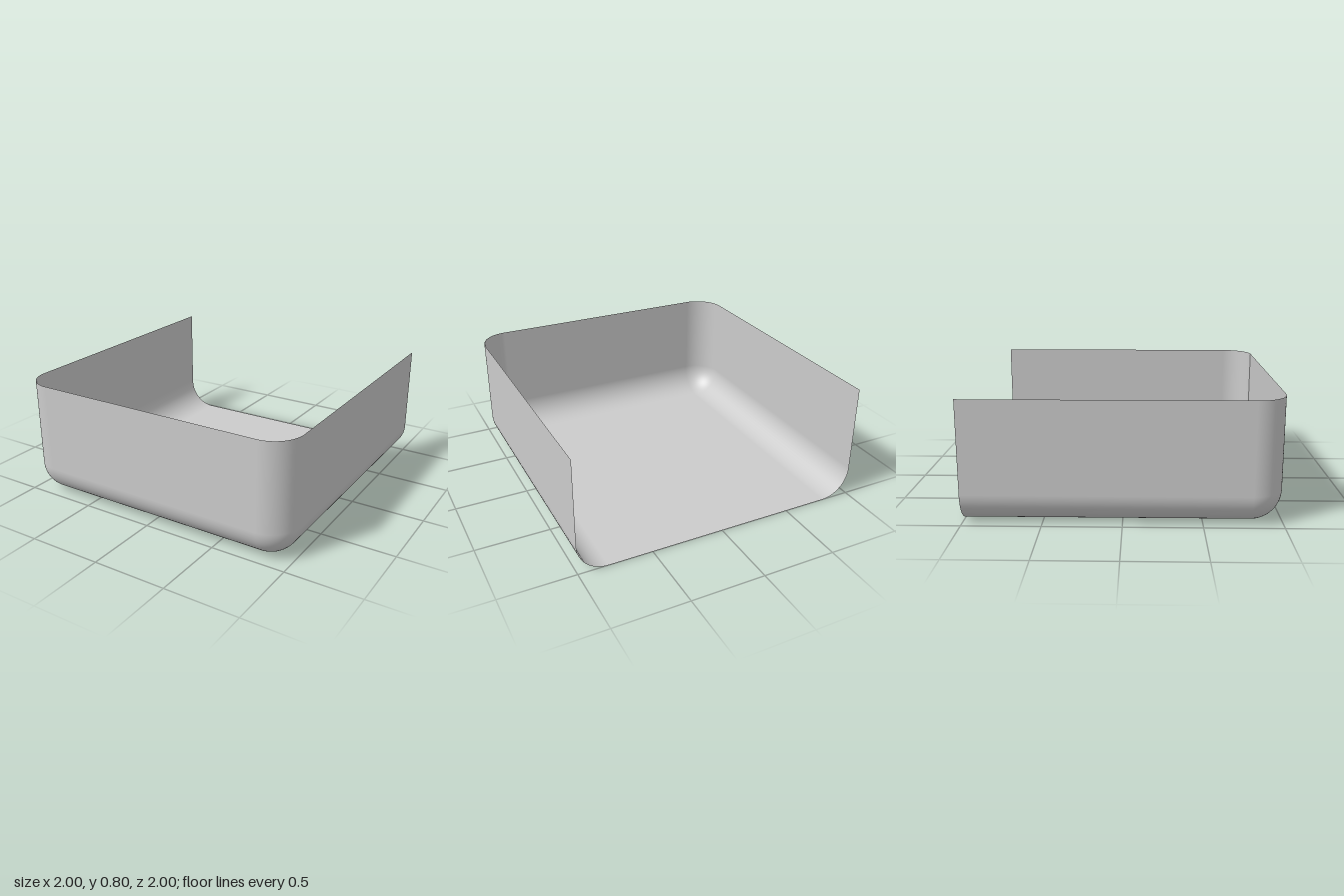
import * as THREE from 'three';

const R = 0.2;        // radius of all rounded edges
const C = 1 - R;      // centre line of the rounded corners
const HEIGHT = 0.8;
const STEPS = 16;     // segments per quarter turn

// Columns run along the U-shaped plan: back right, round the front, back left
function planColumns() {
  const columns = [{ x: -C, z: -1, dx: -1, dz: 0 }];
  for (const side of [-1, 1]) {
    for (let i = 0; i <= STEPS; i++) {
      const t = (i / STEPS) * Math.PI / 2;
      const a = side < 0 ? Math.PI - t : Math.PI / 2 - t;
      columns.push({ x: side * C, z: C, dx: Math.cos(a), dz: Math.sin(a) });
    }
  }
  columns.push({ x: C, z: -1, dx: 1, dz: 0 });
  return columns;
}

// Rows climb the rounded bottom edge, then the straight wall
function profileRows() {
  const rows = [];
  for (let j = 0; j <= STEPS; j++) {
    const a = (j / STEPS) * Math.PI / 2;
    rows.push({ r: R * Math.sin(a), y: R * (1 - Math.cos(a)), out: Math.sin(a), up: -Math.cos(a) });
  }
  rows.push({ r: R, y: HEIGHT, out: 1, up: 0 });
  return rows;
}

function wallGeometry() {
  const columns = planColumns(), rows = profileRows();
  const n = columns.length;
  const positions = [], normals = [], index = [];
  rows.forEach((row, j) => columns.forEach((c, i) => {
    positions.push(c.x + c.dx * row.r, row.y, c.z + c.dz * row.r);
    normals.push(c.dx * row.out, row.up, c.dz * row.out);
    if (i < n - 1 && j < rows.length - 1) {
      const k = j * n + i;
      index.push(k, k + 1, k + n + 1, k, k + n + 1, k + n);
    }
  }));
  const geometry = new THREE.BufferGeometry();
  geometry.setAttribute('position', new THREE.Float32BufferAttribute(positions, 3));
  geometry.setAttribute('normal', new THREE.Float32BufferAttribute(normals, 3));
  geometry.setIndex(index);
  return geometry;
}

export function createModel() {
  const group = new THREE.Group();
  group.name = 'openTray';
  const material = new THREE.MeshStandardMaterial({ color: 0xcccccc, side: THREE.DoubleSide });

  // Front and side walls with rounded edges, open at the back and top
  const walls = new THREE.Mesh(wallGeometry(), material);
  walls.name = 'walls';

  // Flat floor, reaching the open back edge
  const floor = new THREE.Mesh(new THREE.PlaneGeometry(2 * C, 1 + C).rotateX(Math.PI / 2), material);
  floor.position.z = (C - 1) / 2;
  floor.name = 'floor';

  group.add(walls, floor);
  return group;
}
